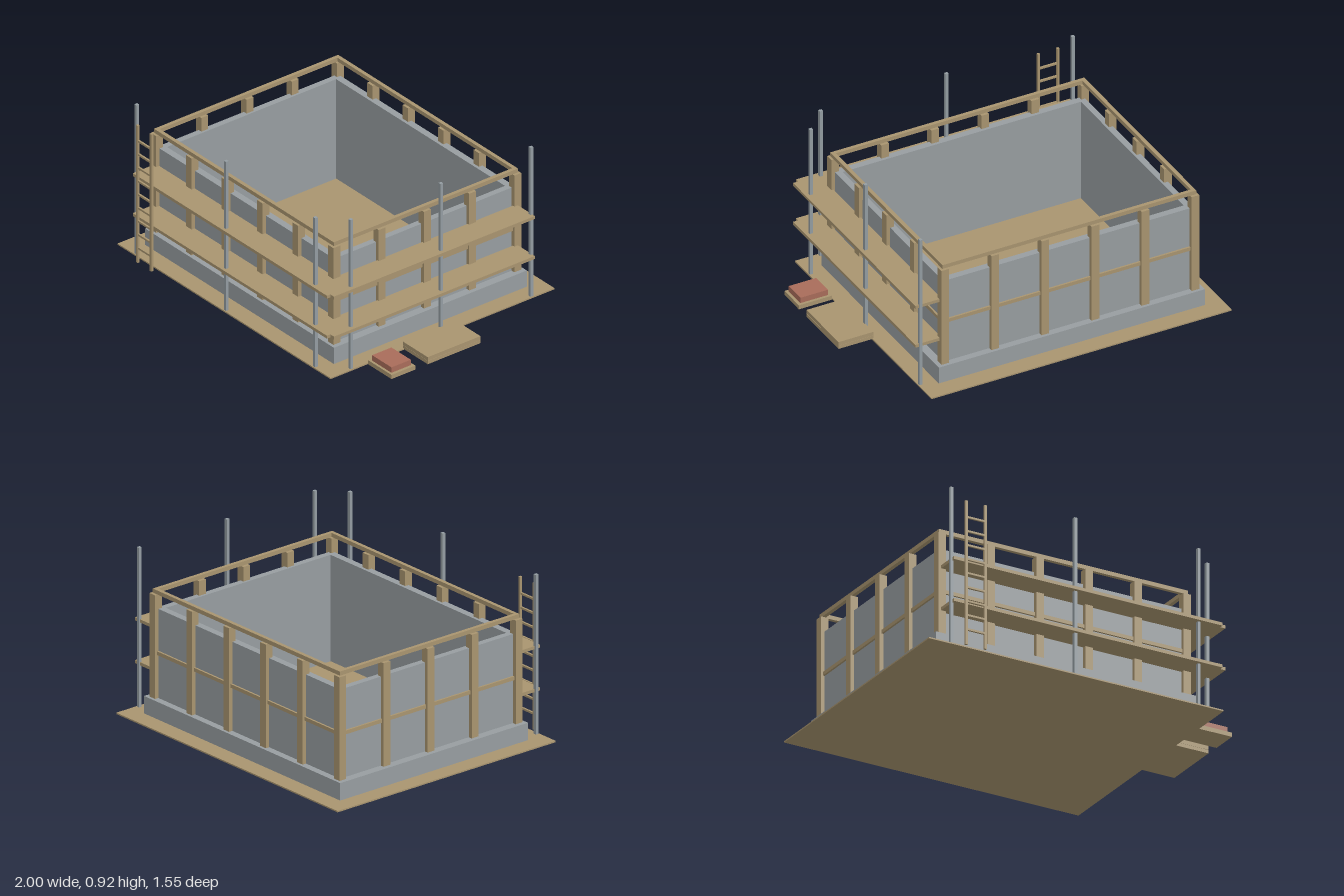
import * as THREE from 'three';

export function createModel() {
  const root = new THREE.Group();
  root.name = 'buildingSite';
  const mat = (name, color) => {
    const m = new THREE.MeshStandardMaterial({ color });
    m.name = name;
    return m;
  };
  const wood = mat('wood', 0xa8946f);
  const concrete = mat('concrete', 0x979da0);
  const steel = mat('steel', 0x939ca1);
  const brick = mat('brick', 0xa86c5a);

  // Box given by its limits on each axis
  const box = (name, material, [x0, x1], [y0, y1], [z0, z1], parent = root) => {
    const mesh = new THREE.Mesh(new THREE.BoxGeometry(x1 - x0, y1 - y0, z1 - z0), material);
    mesh.position.set((x0 + x1) / 2, (y0 + y1) / 2, (z0 + z1) / 2);
    mesh.name = name;
    parent.add(mesh);
  };
  const around = (c, size) => [c - size / 2, c + size / 2];
  const group = (name) => {
    const g = new THREE.Group();
    g.name = name;
    root.add(g);
    return g;
  };

  const CX = -0.1, CZ = -0.02; // centre of the building
  const HX = 0.75, HZ = 0.61; // half size at the outer wall faces

  // Rectangular ring, extruded upwards
  const ring = (name, material, ox, oz, ix, iz, y0, y1) => {
    const rect = (P, x, z) => new P([[-x, -z], [x, -z], [x, z], [-x, z]].map((p) => new THREE.Vector2(...p)));
    const shape = rect(THREE.Shape, ox, oz);
    shape.holes.push(rect(THREE.Path, ix, iz));
    const geo = new THREE.ExtrudeGeometry(shape, { depth: y1 - y0, bevelEnabled: false });
    geo.rotateX(-Math.PI / 2);
    const mesh = new THREE.Mesh(geo, material);
    mesh.position.set(CX, y0, CZ);
    mesh.name = name;
    root.add(mesh);
  };

  box('ground', wood, [-1, 0.8], [0, 0.008], [-0.775, 0.735]);
  ring('plinth', concrete, 0.798, 0.65, 0.714, 0.57, 0.008, 0.107);
  ring('walls', concrete, HX, HZ, 0.714, 0.57, 0.107, 0.614);

  // Timber frame: posts centred on the wall faces, plus two rails
  const frame = group('timberFrame');
  const post = (x, z) => box('post', wood, around(x, 0.046), [0.107, 0.697], around(z, 0.046), frame);
  for (const s of [-1, 1]) {
    for (let i = 0; i <= 5; i++) post(CX - HX + i * 0.3, CZ + s * HZ);
    for (let i = 1; i <= 3; i++) post(CX + s * HX, CZ - HZ + i * 0.305);
  }
  const rails = (name, y0, y1) => ring(name, wood, HX + 0.011, HZ + 0.011, HX - 0.011, HZ - 0.011, y0, y1);
  rails('middleRail', 0.355, 0.376);
  rails('topRail', 0.7, 0.723);

  // Scaffold poles and walkways along the front and left sides
  const scaffold = group('scaffold');
  const pole = (x, z) => box('scaffoldPole', steel, around(x, 0.018), [0.004, 0.917], around(z, 0.018), scaffold);
  for (const x of [-0.857, -0.1, 0.655]) pole(x, 0.72);
  for (const z of [-0.628, -0.02, 0.587]) pole(0.786, z);
  for (const y of [0.255, 0.499]) {
    box('frontWalkway', wood, [-0.855, 0.787], around(y, 0.018), [0.592, 0.748], scaffold);
    box('sideWalkway', wood, [0.66, 0.817], around(y, 0.018), [-0.63, 0.725], scaffold);
  }

  // Ladder
  const ladder = group('ladder');
  for (const x of [-0.792, -0.676]) box('ladderRail', wood, around(x, 0.014), [0, 0.836], around(0.765, 0.014), ladder);
  for (let i = 0; i < 9; i++) box('ladderRung', wood, [-0.786, -0.682], around(0.09 + i * 0.0815, 0.011), around(0.765, 0.011), ladder);

  // Stacked boards and a pallet of bricks
  box('lowerBoard', wood, [0.79, 1], [0.002, 0.022], [-0.117, 0.238]);
  box('upperBoard', wood, [0.79, 1], [0.023, 0.045], [-0.117, 0.238]);
  box('pallet', wood, [0.8, 1], [0, 0.025], [0.322, 0.482]);
  box('bricks', brick, [0.818, 0.982], [0.025, 0.058], [0.338, 0.468]);

  return root;
}
